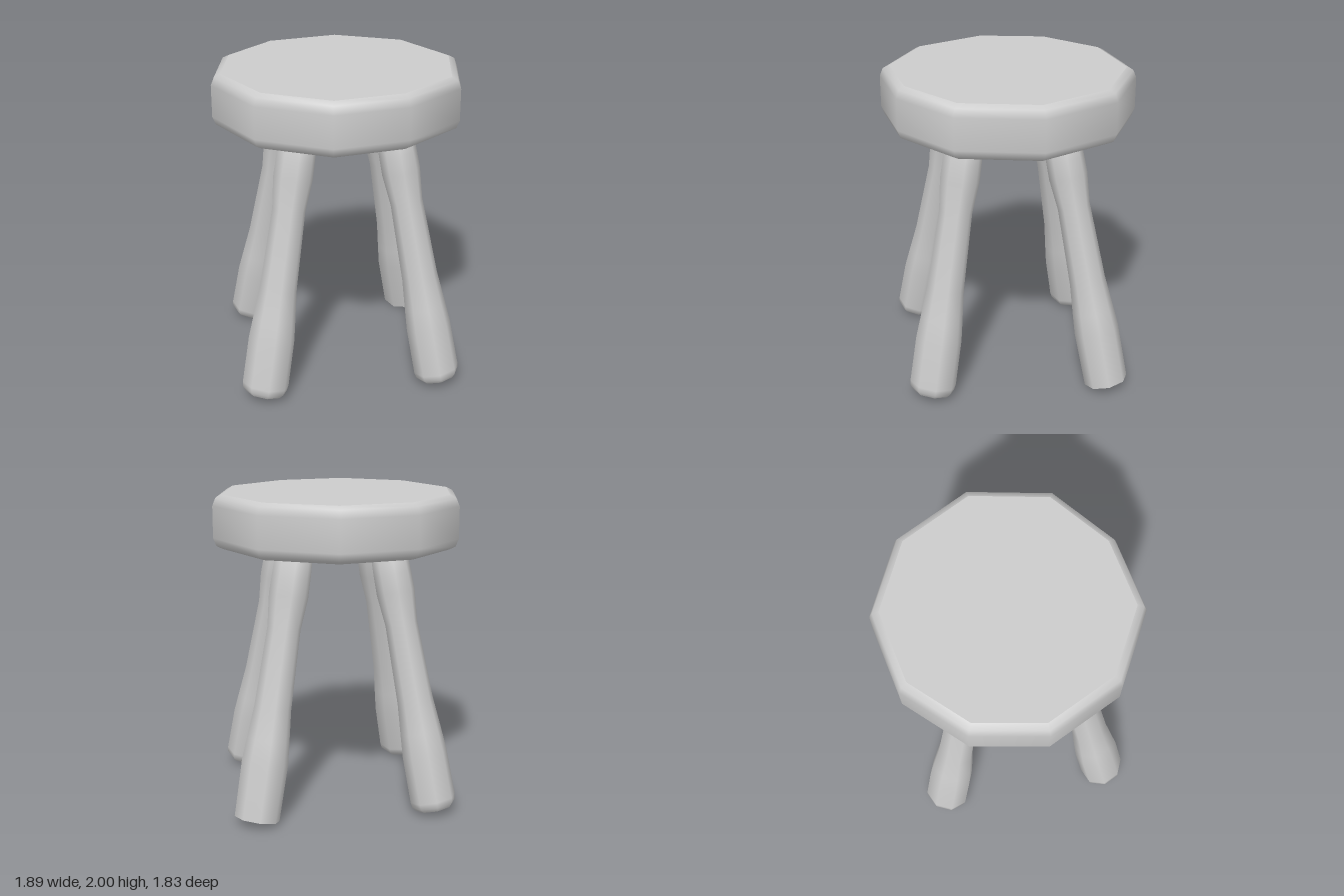
import * as THREE from 'three';

const material = new THREE.MeshStandardMaterial({ color: 0xcccccc });
const toPoints = (list) => list.map(([r, y]) => new THREE.Vector2(r, y));

// Rounded slab, turned with ten sides, then nudged to a slightly irregular outline
function makeSeat() {
  const outline = [
    [0.8, -0.03], [0.635, -0.505], [0.22, -0.78], [-0.25, -0.77], [-0.63, -0.51],
    [-0.8, -0.03], [-0.665, 0.44], [-0.28, 0.71], [0.2, 0.76], [0.64, 0.47],
  ];
  // Repeated points keep the flat faces crisp against the rounded rim
  const profile = [
    [0, 1.66], [0.74, 1.66], [0.74, 1.66], [0.78, 1.68], [0.8, 1.73],
    [0.8, 1.93], [0.78, 1.98], [0.74, 2], [0.74, 2], [0, 2],
  ];
  const geometry = new THREE.LatheGeometry(toPoints(profile), 10, Math.PI / 2);
  const pos = geometry.attributes.position;
  for (let i = 0; i < pos.count; i++) {
    const [x, z] = outline[Math.floor(i / profile.length) % 10];
    const scale = profile[i % profile.length][0] / 0.8;
    pos.setX(i, x * scale);
    pos.setZ(i, z * scale);
  }
  const seat = new THREE.Mesh(geometry, material);
  seat.name = 'seat';
  return seat;
}

// Eight-sided turned leg: thick foot, slim shaft, swelling near the top
function makeLeg(name, angle, foot, footReach, topReach) {
  const profile = [
    [0, 0], ...foot, [0.15, 0.36], [0.138, 0.5], [0.12, 0.7], [0.107, 1.2],
    [0.127, 1.4], [0.125, 1.52], [0.115, 1.76], [0, 1.76],
  ];
  const leg = new THREE.Mesh(new THREE.LatheGeometry(toPoints(profile), 8), material);
  leg.scale.x = 0.93;
  leg.position.set(footReach, 0.036, 0);
  leg.rotation.z = Math.atan2(footReach - topReach, 1.63);
  const group = new THREE.Group();
  group.name = name;
  group.add(leg);
  leg.name = name + 'Post';
  group.rotation.y = angle;
  return group;
}

export function createModel() {
  const model = new THREE.Group();
  model.name = 'stool';
  model.add(makeSeat());

  // Three feet have a softened edge, the left one is cut square
  const softFoot = [[0.122, 0], [0.122, 0], [0.146, 0.025], [0.152, 0.06]];
  const squareFoot = [[0.146, 0], [0.146, 0]];
  model.add(
    makeLeg('leftLeg', 0, squareFoot, 0.815, 0.415),
    makeLeg('backLeg', Math.PI / 2, softFoot, 0.79, 0.41),
    makeLeg('rightLeg', Math.PI, softFoot, 0.815, 0.42),
    makeLeg('frontLeg', -Math.PI / 2, softFoot, 0.79, 0.41),
  );
  return model;
}
